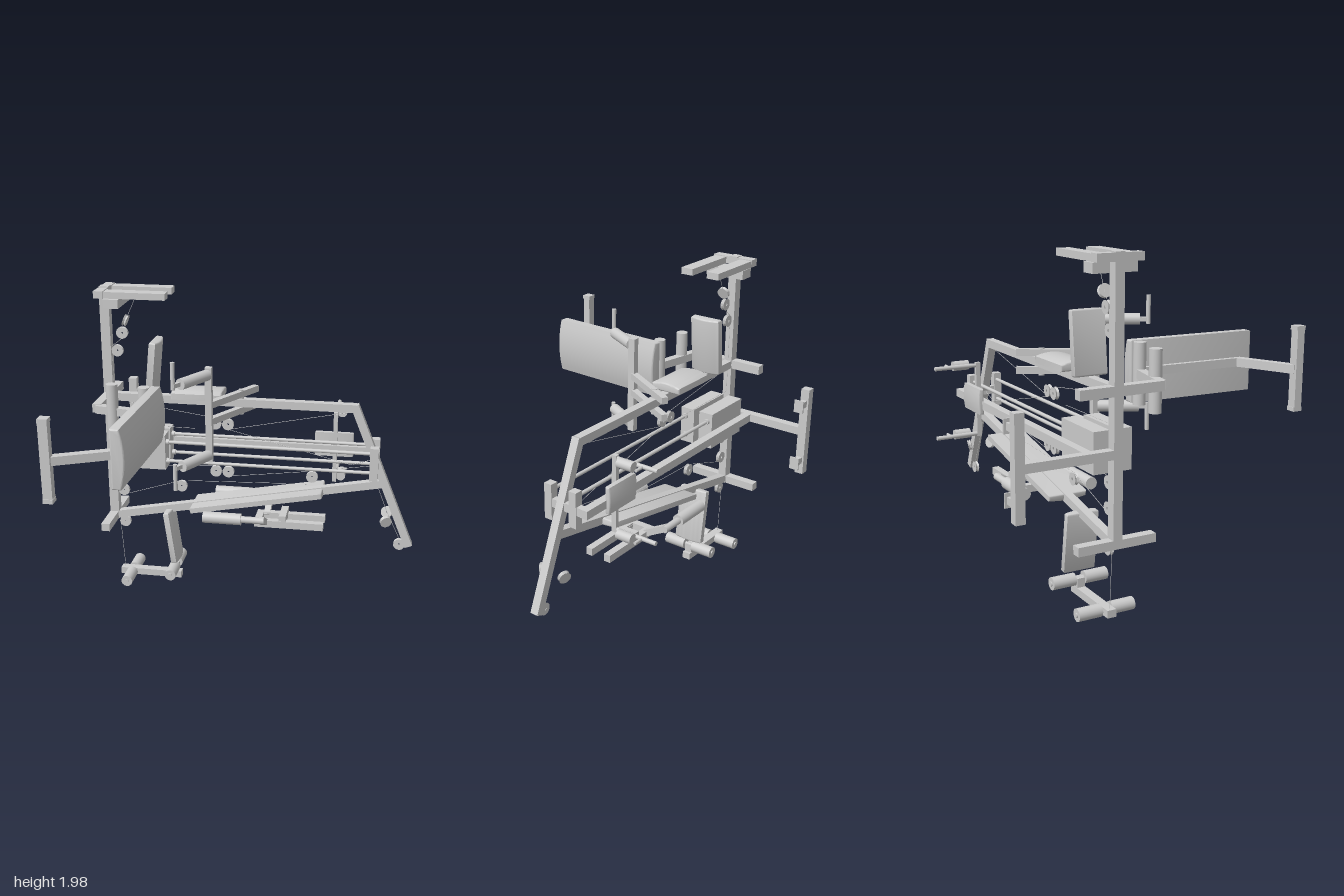
import * as THREE from 'three';
import { toCreasedNormals } from 'three/addons/utils/BufferGeometryUtils.js';

const V = (p) => new THREE.Vector3(...p);
const material = new THREE.MeshStandardMaterial({ color: 0xcccccc, side: THREE.DoubleSide });
const ZC = -0.305; // centre plane of the frame

export function createModel() {
  const model = new THREE.Group();
  model.name = 'multiStationGym';

  const add = (name, geometry) => {
    const mesh = new THREE.Mesh(geometry, material);
    mesh.name = name;
    model.add(mesh);
    return mesh;
  };
  // axis-aligned box from its limits
  const box = (name, x0, x1, y0, y1, z0, z1) => {
    const m = add(name, new THREE.BoxGeometry(x1 - x0, y1 - y0, z1 - z0));
    m.position.set((x0 + x1) / 2, (y0 + y1) / 2, (z0 + z1) / 2);
    return m;
  };
  // places a mesh so that its local z runs from a to b
  const aim = (mesh, a, b, up) => {
    mesh.position.copy(V(a).add(V(b)).multiplyScalar(0.5));
    mesh.up.copy(V(up));
    mesh.lookAt(V(b));
    return mesh;
  };
  // square tube between two points
  const beam = (name, a, b, w = 0.05, h = w) => {
    const flat = Math.abs(a[2] - b[2]) < 0.01;
    const g = new THREE.BoxGeometry(w, h, V(a).distanceTo(V(b)));
    return aim(add(name, g), a, b, flat ? [0, 0, 1] : [0, 1, 0]);
  };
  // round bar between two points
  const rod = (name, a, b, r, sides = 20) => {
    const g = new THREE.CylinderGeometry(r, r, V(a).distanceTo(V(b)), sides).rotateX(Math.PI / 2);
    const vertical = Math.abs(a[1] - b[1]) > 0.9 * V(a).distanceTo(V(b));
    return aim(add(name, g), a, b, vertical ? [0, 0, 1] : [0, 1, 0]);
  };
  // cushion with a flat back and a domed face towards the normal
  const pad = (name, a, b, width, thick, normal) => {
    const e = 0.01, w = width / 2 - e, t = thick / 2 - e, len = V(a).distanceTo(V(b)) - 2 * e;
    const s = new THREE.Shape();
    s.moveTo(-w, -t);
    s.lineTo(w, -t);
    s.lineTo(w, t * 0.2);
    s.quadraticCurveTo(0, t * 1.8, -w, t * 0.2);
    s.closePath();
    const g = new THREE.ExtrudeGeometry(s, {
      depth: len, bevelThickness: e, bevelSize: e, bevelSegments: 3, curveSegments: 12,
    }).translate(0, 0, -len / 2);
    return aim(add(name, toCreasedNormals(g, 0.6)), a, b, normal);
  };

  // base frame
  box('baseBeam', -1, -0.94, 0.43, 1.98, ZC - 0.027, ZC + 0.027);
  box('lowerBaseCrossbar', -1, -0.945, 0.43, 0.48, -0.54, -0.07);
  box('upperBaseCrossbar', -1, -0.945, 1.25, 1.305, -0.53, -0.03);
  box('sideBaseCrossbar', -1, -0.945, 0.92, 0.97, -0.85, -0.3);
  box('sideFoot', -1, -0.945, 0.66, 1.23, -0.89, -0.835);
  for (const y of [0.755, 1.14]) {
    box('footPeg', -0.945, -0.88, y - 0.02, y + 0.02, -0.88, -0.845);
    box('footPegCap', -0.88, -0.87, y - 0.04, y + 0.04, -0.893, -0.832);
  }

  // rowing foot plates
  box('footPlateCrossbar', -0.945, -0.85, 1.87, 1.925, -0.43, -0.17);
  box('footPlateEnd', -1, -0.94, 1.93, 1.975, -0.437, -0.165);
  for (const s of [-1, 1]) {
    const z = ZC + s * 0.09;
    box('footPlate', -0.94, -0.56, 1.93, 1.97, z - 0.04, z + 0.04);
  }

  // main frame tubes
  beam('upperBeam', [-0.95, 1.277, ZC], [0.6, 1.277, ZC]);
  beam('frontUpright', [0.59, 1.295, ZC], [0.965, 0.37, ZC]);
  beam('lowerBeam', [-0.95, 0.457, ZC], [0.78, 0.79, ZC]);
  box('sideBeam', -0.95, 0.75, 0.92, 0.97, -0.49, -0.44);

  // weight stacks with guide rods and end plates
  for (const s of [-1, 1]) {
    const z = ZC + s * 0.067;
    box('weightStack', -0.94, -0.59, 0.835, 1.065, z - 0.048, z + 0.048);
    for (const y of [0.885, 1.012]) {
      rod('guideRod', [-0.6, y, ZC + s * 0.08], [0.72, y, ZC + s * 0.08], 0.011, 12);
      rod('rodCollar', [-0.59, y, ZC + s * 0.08], [-0.57, y, ZC + s * 0.08], 0.018, 12);
    }
    const zp = ZC + s * 0.085;
    box('guideEndPlate', 0.70, 0.752, 0.84, 1.055, zp - 0.025, zp + 0.025);
  }
  box('guideEndBar', 0.705, 0.747, 0.92, 0.97, -0.49, -0.2);

  // upper station seat and back rest
  pad('upperSeat', [-0.647, 1.655, ZC], [-0.683, 1.30, ZC], 0.195, 0.06, [1, 0, 0]);
  pad('upperBackPad', [-0.55, 1.33, ZC], [-0.23, 1.33, ZC], 0.195, 0.055, [0, 1, 0]);

  // press arm
  for (const y of [1.335, 1.23]) {
    beam('pressArm', [-0.045, y, -0.43], [-0.275, y, -0.035], 0.04);
  }
  rod('pressPivot', [-0.12, 1.20, -0.305], [-0.12, 1.36, -0.305], 0.018);
  box('pressCrossbar', -0.29, -0.25, 0.975, 1.572, -0.06, -0.015);
  for (const s of [-1, 1]) {
    const y = 1.274 + s * 0.255;
    beam('gripStub', [-0.27, y, -0.035], [-0.425, y, 0.23], 0.025);
    rod('pressGrip', [-0.275, y, -0.02], [-0.39, y, 0.19], 0.034);
    rod('pressHandle', [-0.425, y - s * 0.025, 0.225], [-0.425, y + s * 0.14, 0.225], 0.013);
  }

  // leg press arm, pad and its foot
  beam('legPressLink', [-0.97, 1.277, -0.035], [-0.65, 1.277, 0.03]);
  rod('legPressHinge', [-0.86, 1.10, 0], [-0.86, 1.45, 0], 0.036);
  rod('legPressHinge', [-0.652, 1.10, 0.03], [-0.652, 1.45, 0.03], 0.036);
  beam('legPressBeam', [-0.615, 1.277, 0.02], [-0.64, 1.277, 0.71]);
  beam('legPressStrut', [-0.63, 1.277, 0.69], [-0.975, 1.277, 0.855]);
  box('legPressFoot', -1, -0.945, 1.06, 1.5, 0.837, 0.885);
  for (const y of [1.05, 1.51]) box('footCap', -1, -0.943, y - 0.012, y + 0.012, 0.832, 0.89);
  pad('legPressPad', [-0.57, 1.277, 0], [-0.6, 1.277, 0.795], 0.35, 0.08, [1, 0, 0]);

  // lower station back rest, seat and leg developer
  pad('lowerBackPad', [-0.44, 0.553, ZC], [0.41, 0.715, ZC], 0.24, 0.045, [0.19, -0.98, 0]);
  pad('lowerSeat', [-0.60, 0.52, ZC], [-0.553, 0.16, ZC], 0.195, 0.05, [1, 0, 0]);
  box('legArm', -0.945, -0.53, 0.022, 0.066, ZC - 0.027, ZC + 0.027);
  box('legArmPost', -0.60, -0.55, 0.06, 0.12, ZC - 0.025, ZC + 0.025);
  for (const [x, y] of [[-0.57, 0.11], [-0.867, 0.042]]) {
    rod('legRollerAxle', [x, y, ZC - 0.18], [x, y, ZC + 0.18], 0.014);
    for (const s of [-1, 1]) {
      rod('legRoller', [x, y, ZC + s * 0.03], [x, y, ZC + s * 0.173], 0.037);
    }
  }

  // lower press handles on a forked arm
  box('forkCrossbar', 0.135, 0.18, 0.49, 0.55, -0.39, -0.22);
  box('forkRearBar', -0.025, 0.02, 0.467, 0.513, -0.39, -0.22);
  for (const s of [-1, 1]) {
    const z = ZC + s * 0.065, zg = ZC + s * 0.215;
    box('forkBar', -0.025, 0.42, 0.467, 0.513, z - 0.022, z + 0.022);
    beam('gripBracket', [0.04, 0.485, ZC + s * 0.05], [0.04, 0.575, zg], 0.04);
    rod('gripBar', [0.06, 0.57, zg], [-0.10, 0.57, zg], 0.022);
    rod('lowerGrip', [-0.085, 0.57, zg], [-0.33, 0.57, zg], 0.037);
  }

  // rear station with chest pad and swing handles
  pad('chestPad', [0.33, 0.965, -0.495], [0.58, 0.965, -0.495], 0.16, 0.035, [0, 0, -1]);
  box('swingBar', 0.45, 0.476, 0.72, 1.19, -0.475, -0.445);
  for (const y of [1.172, 0.735]) {
    rod('swingHandle', [0.463, y, -0.45], [0.463, y, -0.74], 0.013);
    rod('swingRoller', [0.5, y, -0.51], [0.5, y, -0.61], 0.03);
    rod('swingPeg', [0.46, y, -0.645], [0.53, y, -0.645], 0.009, 12);
  }

  // pulleys in the centre plane
  const pulleyProfile = [[0.008, -0.011], [0.037, -0.011], [0.03, 0], [0.037, 0.011], [0.008, 0.011]]
    .map(([r, h]) => new THREE.Vector2(r, h));
  const pulley = (x, y, z = ZC) => {
    const g = new THREE.LatheGeometry(pulleyProfile, 24).rotateX(Math.PI / 2);
    const m = add('pulley', toCreasedNormals(g, 0.5));
    m.position.set(x, y, z);
    return m;
  };
  const centrePulleys = [
    [-0.87, 1.69], [-0.905, 1.575], [-0.285, 1.125], [-0.205, 1.125], [-0.285, 0.803], [-0.205, 0.803],
    [-0.905, 0.773], [-0.905, 0.63], [-0.905, 0.404], [-0.515, 0.683], [0.335, 0.803], [0.905, 0.375],
  ];
  for (const [x, y] of centrePulleys) pulley(x, y);
  for (const s of [-1, 1]) pulley(0.815, 0.56, ZC + s * 0.075).rotation.set(s * 0.25, s * 0.35, 0);
  // row handle disc, turned towards the rider
  pulley(-0.845, 1.77).rotation.set(0, Math.PI / 2, -0.35, 'ZYX');

  // cables
  const cables = [
    [[-0.77, 1.93], [-0.845, 1.77], [-0.87, 1.73]],
    [[-0.83, 1.69], [-0.94, 1.6], [-0.94, 1.09], [-0.42, 1.085]],
    [[-0.85, 1.24], [-0.285, 1.163], [-0.205, 1.09], [0.58, 1.25]],
    [[-0.205, 1.09], [0.58, 0.9], [0.7, 0.94]],
    [[-0.94, 0.8], [-0.285, 0.84], [-0.205, 0.77], [0.335, 0.84], [0.7, 0.9]],
    [[-0.905, 0.595], [-0.515, 0.72], [0.3, 0.75]],
    [[-0.94, 0.404], [-0.92, 0.05]],
    [[0.70, 0.90], [0.815, 0.6], [0.905, 0.41]],
  ];
  for (const path of cables) {
    for (let i = 1; i < path.length; i++) {
      rod('cable', [...path[i - 1], ZC], [...path[i], ZC], 0.0015, 6);
    }
  }
  return model;
}
